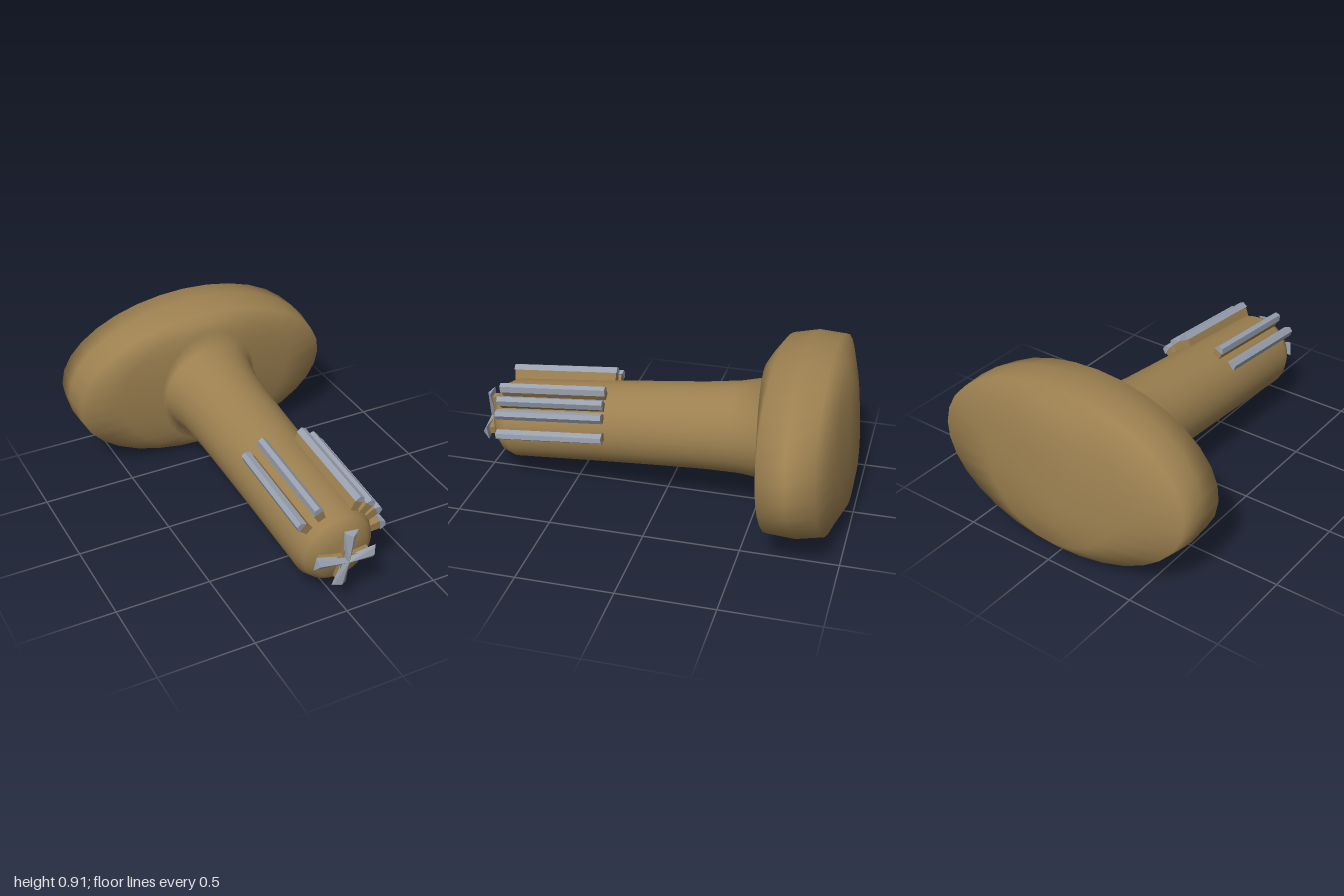
import * as THREE from 'three';
import { ConvexGeometry } from 'three/addons/geometries/ConvexGeometry.js';

const brown = new THREE.MeshStandardMaterial({ color: 0x9c8050 });
brown.name = 'tan brown';
const grey = new THREE.MeshStandardMaterial({ color: 0x98a0ae });
grey.name = 'blue grey';

function mesh(name, geometry, material) {
  const m = new THREE.Mesh(geometry, material);
  m.name = name;
  return m;
}

// Closed smooth skin through elliptical rings [half width, half height, z]
function loft(rings, sides) {
  const pos = [], index = [];
  for (const [u, v, w] of rings) {
    for (let j = 0; j < sides; j++) {
      const a = (j / sides) * Math.PI * 2;
      pos.push(u * Math.cos(a), v * Math.sin(a), w);
    }
  }
  for (let i = 0; i < rings.length - 1; i++) {
    for (let j = 0; j < sides; j++) {
      const k = (j + 1) % sides;
      const a = i * sides + j, b = i * sides + k;
      index.push(a, b, a + sides, b, b + sides, a + sides);
    }
  }
  const g = new THREE.BufferGeometry();
  g.setAttribute('position', new THREE.Float32BufferAttribute(pos, 3));
  g.setIndex(index);
  g.computeVertexNormals();
  return g;
}

// Prism along z from a cross-section
function prism(points, length) {
  const shape = new THREE.Shape(points.map(([x, y]) => new THREE.Vector2(x, y)));
  return new THREE.ExtrudeGeometry(shape, { depth: length, bevelEnabled: false });
}

// Lengthwise rib: brown web with a bevelled grey cap, standing out along +x
function rib(angle) {
  const g = new THREE.Group();
  g.name = 'rib';
  const web = mesh('ribWeb', prism([[0.18, -0.02], [0.258, -0.024], [0.258, 0.024], [0.18, 0.02]], 0.57), brown);
  const cap = mesh('ribCap', prism([[0.256, -0.028], [0.285, -0.013], [0.285, 0.013], [0.256, 0.028]], 0.58), grey);
  web.position.z = 1.04;
  cap.position.z = 1.035;
  g.add(web, cap);
  g.rotation.z = THREE.MathUtils.degToRad(angle);
  return g;
}

// Flared arm of the cross on the nose, with a ridge along its middle
function crossArm(angle) {
  const g = new THREE.Group();
  g.name = 'crossArm';
  const V = (x, y, z) => new THREE.Vector3(x, y, z);
  const web = mesh('armWeb', new THREE.BoxGeometry(0.135, 0.04, 0.08), brown);
  web.position.set(0.0675, 0, 1.685);
  const cap = mesh('armCap', new ConvexGeometry([
    V(0, -0.012, 1.72), V(0, 0.012, 1.72), V(0, 0, 1.755),
    V(0.165, -0.04, 1.713), V(0.165, 0.04, 1.713),
    V(0.155, -0.03, 1.724), V(0.155, 0.03, 1.724), V(0.15, 0, 1.743),
  ]), grey);
  g.add(web, cap);
  g.rotation.z = THREE.MathUtils.degToRad(angle);
  return g;
}

export function createModel() {
  const model = new THREE.Group();
  model.name = 'handle';

  // Oval grip flowing into the round shaft and its blunt nose
  model.add(mesh('gripAndShaft', loft([
    [0, 0, -0.236], [0.1, 0.12, -0.235], [0.2, 0.24, -0.228], [0.4, 0.375, -0.2],
    [0.73, 0.435, -0.14], [0.742, 0.457, 0], [0.73, 0.435, 0.14],
    [0.5, 0.4, 0.18], [0.28, 0.36, 0.212],
    [0.262, 0.262, 0.225], [0.24, 0.24, 0.36], [0.228, 0.228, 0.55],
    [0.222, 0.222, 0.8], [0.216, 0.216, 1.1], [0.21, 0.21, 1.59],
    [0.185, 0.185, 1.645], [0.145, 0.145, 1.678], [0.07, 0.07, 1.694], [0, 0, 1.698],
  ], 32), brown));

  // Two ribs on one side, four on the other
  for (const angle of [137, 114, 63, 46, 30, 6]) model.add(rib(angle));

  // Cross on the nose
  for (let i = 0; i < 4; i++) model.add(crossArm(-7 + i * 90));

  // Slight downward tilt of the shaft
  model.rotation.x = 0.09;
  model.position.set(0, 0.46, -0.75);

  const root = new THREE.Group();
  root.name = 'model';
  root.add(model);
  return root;
}
